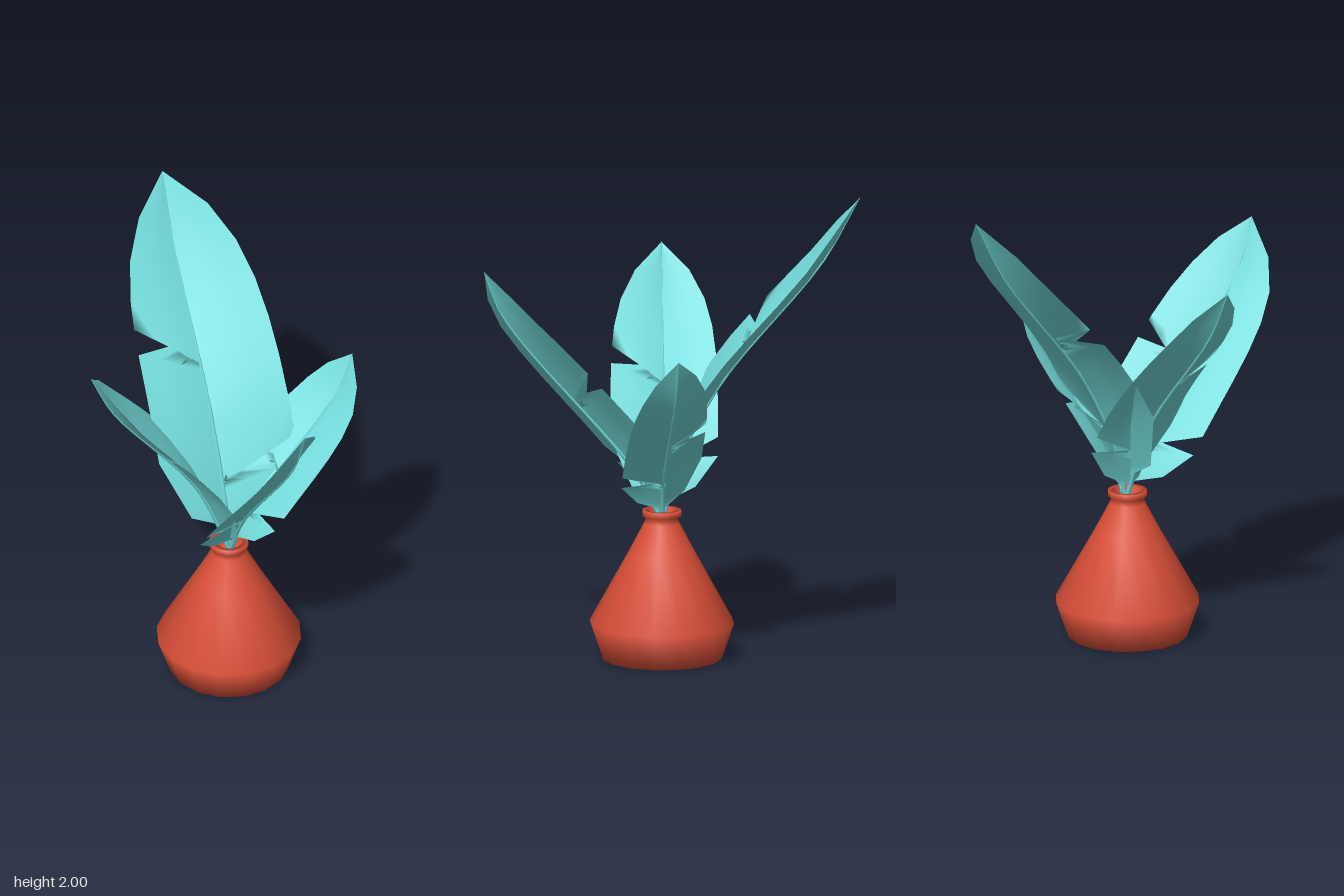
import * as THREE from 'three';

const leafMat = new THREE.MeshStandardMaterial({ color: 0x74dcdc, side: THREE.DoubleSide });
const potMat = new THREE.MeshStandardMaterial({ color: 0xd94f38, side: THREE.DoubleSide });
const ROWS = 9;
const COLS = 4;
const START = 0.07;

// Relative blade width: blunt base, nearly straight sides, pointed tip
const bladeWidth = (s) => Math.min(1, Math.pow(s / 0.12, 0.6)) * (1 - Math.pow(s, 6));

// Stations along the edge, with a V-shaped tear
function stations(tear) {
  const list = Array.from({ length: ROWS + 1 }, (_, i) => ({ root: i / ROWS, edge: i / ROWS, scale: 1 }));
  list[1].edge = list[1].root = 0.05;
  const kept = list.filter(({ edge }) => Math.abs(edge - tear) > 0.07);
  kept.push({ root: tear - 0.01, edge: tear - 0.005, scale: 1 });
  kept.push({ root: tear, edge: tear, scale: 0.08 });
  kept.push({ root: tear + 0.01, edge: tear + 0.065, scale: 1 });
  return kept.sort((a, b) => a.root - b.root);
}

// One half of a blade, folded upward from the midrib
function halfBlade(curve, side, up, fold, width, tear) {
  const pos = [], idx = [];
  const along = (s) => START + (1 - START) * s;
  stations(tear).forEach(({ root, edge, scale }, i) => {
    const w = width * scale * bladeWidth(edge);
    const inner = curve.getPointAt(along(root - 0.3 * root * (1 - root)));
    const outer = curve.getPointAt(along(edge)).addScaledVector(side, w);
    for (let j = 0; j < COLS; j++) {
      const u = j / (COLS - 1);
      const p = inner.clone().lerp(outer, u).addScaledVector(up, fold * w * Math.pow(u, 0.65));
      pos.push(p.x, p.y, p.z);
      if (i && j) {
        const d = i * COLS + j, c = d - 1, b = d - COLS, a = b - 1;
        idx.push(a, b, d, a, d, c);
      }
    }
  });
  const g = new THREE.BufferGeometry();
  g.setAttribute('position', new THREE.Float32BufferAttribute(pos, 3));
  g.setIndex(idx);
  g.computeVertexNormals();
  return new THREE.Mesh(g, leafMat);
}

// Stem and midrib, tapering to the tip
function midrib(curve) {
  const n = 16, sides = 5;
  const g = new THREE.TubeGeometry(curve, n, 0.012, sides);
  const p = g.attributes.position;
  const v = new THREE.Vector3();
  for (let q = 0; q < p.count; q++) {
    const t = Math.floor(q / (sides + 1)) / n;
    v.fromBufferAttribute(p, q).lerp(curve.getPointAt(t), 0.85 * t);
    p.setXYZ(q, v.x, v.y, v.z);
  }
  return new THREE.Mesh(g, leafMat);
}

function makeLeaf({ name, path, roll, fold, widths, tear }) {
  const group = new THREE.Group();
  group.name = name;
  const points = [new THREE.Vector3(0.03, 0.58, 0.04), ...path.map((p) => new THREE.Vector3(...p))];
  const curve = new THREE.CatmullRomCurve3(points, false, 'centripetal');
  const dir = points[points.length - 1].clone().sub(points[0]).normalize();
  const side = dir.clone().cross(new THREE.Vector3(0, 1, 0)).normalize().applyAxisAngle(dir, -roll);
  const up = side.clone().cross(dir);
  const rib = midrib(curve);
  rib.name = 'midrib';
  // A tear near the base leaves a small lobe on one half
  const lobed = halfBlade(curve, side, up, fold, widths[0], 0.16);
  lobed.name = 'lobedHalf';
  const torn = halfBlade(curve, side.clone().negate(), up, fold, widths[1], tear);
  torn.name = 'tornHalf';
  group.add(rib, lobed, torn);
  return group;
}

const leaves = [
  { name: 'backLeaf', roll: 0, fold: 0.22, widths: [0.33, 0.28], tear: 0.53,
    path: [[0.02, 0.78, 0], [0, 1.17, -0.19], [-0.04, 1.72, -0.635], [-0.05, 2, -0.79]] },
  { name: 'frontLeaf', roll: -0.45, fold: 0.2, widths: [0.23, 0.24], tear: 0.47,
    path: [[0.05, 0.79, 0.14], [0.14, 1.485, 0.71], [0.16, 1.68, 0.785]] },
  { name: 'rightLeaf', roll: 0, fold: 0.27, widths: [0.23, 0.225], tear: 0.52,
    path: [[-0.12, 0.95, 0.055], [-0.5, 1.45, 0.11], [-0.6, 1.66, 0.125]] },
  { name: 'leftLeaf', roll: -0.3, fold: 0.2, widths: [0.18, 0.185], tear: 0.43,
    path: [[0.1, 0.74, 0.03], [0.53, 1.24, -0.08], [0.6, 1.41, -0.1]] },
];

export function createModel() {
  const model = new THREE.Group();
  model.name = 'pottedPlant';

  // Vase: base, belly, long cone, collar, rim and inner throat
  const profile = [[0, 0], [0.255, 0], [0.308, 0.155], [0.14, 0.46], [0.075, 0.585], [0.068, 0.605],
    [0.083, 0.615], [0.083, 0.64], [0.06, 0.64], [0.055, 0.56], [0, 0.55]];
  const vase = new THREE.Mesh(
    new THREE.LatheGeometry(profile.map(([r, y]) => new THREE.Vector2(r, y)), 16), potMat);
  vase.name = 'vase';
  vase.position.set(0.022, 0, 0.045);
  model.add(vase);

  leaves.forEach((spec) => model.add(makeLeaf(spec)));
  return model;
}
